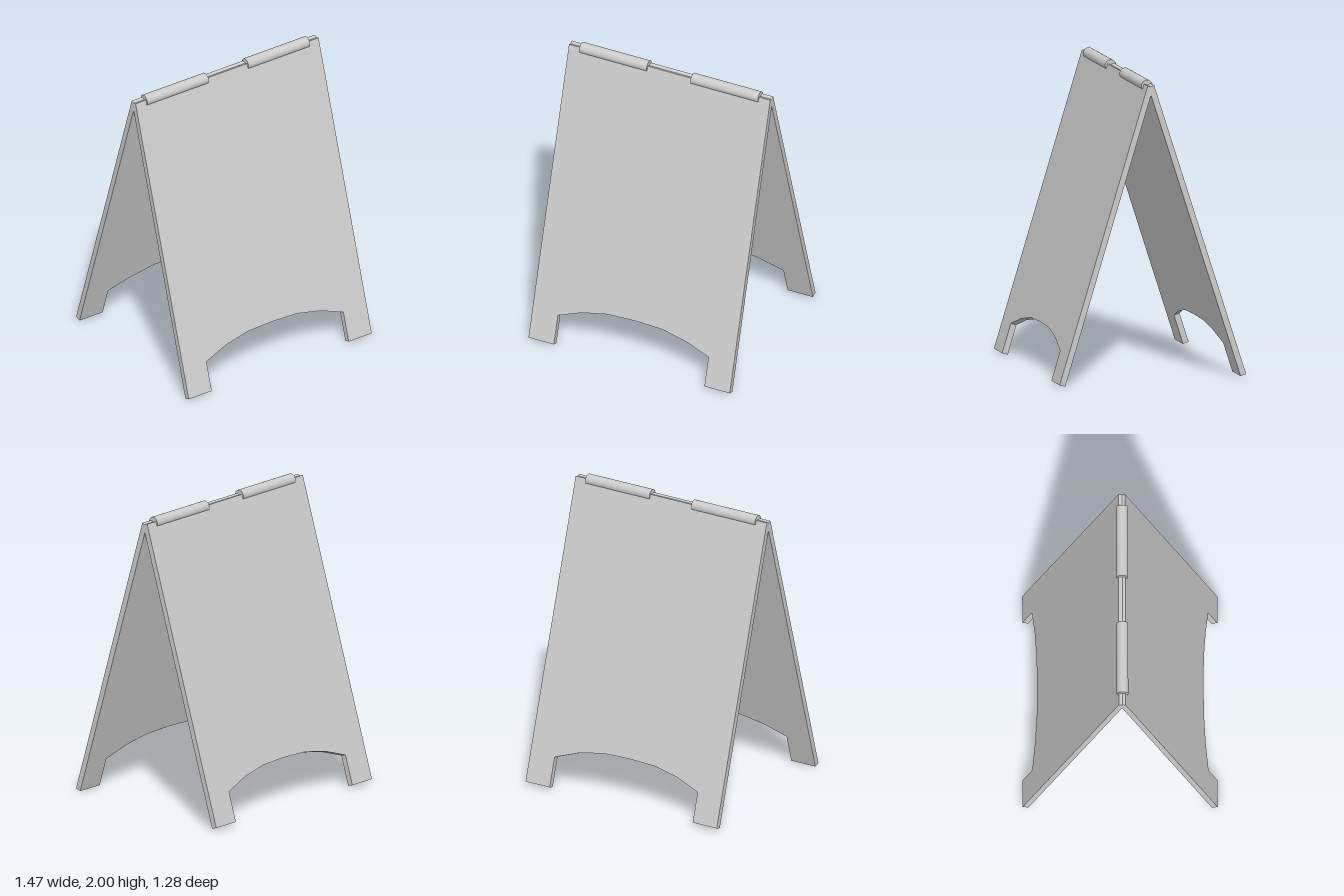
import * as THREE from 'three';

const WIDTH = 1.47, LENGTH = 2.053, THICK = 0.04;

export function createModel() {
  const model = new THREE.Group();
  model.name = 'sandwichBoard';
  const material = new THREE.MeshStandardMaterial({ color: 0xcccccc });

  // Board outline: two feet with a shallow faceted arch between them
  const w = WIDTH / 2;
  const arch = [[-0.55, 0], [-0.55, 0.204], [-0.38, 0.267], [-0.2, 0.304], [0, 0.311],
    [0.2, 0.304], [0.38, 0.267], [0.55, 0.204], [0.55, 0]];
  const outline = [[-w, 0], ...arch, [w, 0], [w, LENGTH], [-w, LENGTH]];
  const shape = new THREE.Shape(outline.map(([x, y]) => new THREE.Vector2(x, y)));
  const boardGeometry = new THREE.ExtrudeGeometry(shape, { depth: THICK, bevelEnabled: false });
  boardGeometry.translate(0, 0, -THICK); // outer face at z = 0

  // Leaning boards, pivoted at the bottom edge of the outer face
  function addBoard(name, y, z, leanDegrees, turn) {
    const board = new THREE.Mesh(boardGeometry, material);
    board.name = name;
    board.position.set(0, y, z);
    board.rotation.set(-THREE.MathUtils.degToRad(leanDegrees), turn, 0, 'YXZ');
    model.add(board);
  }
  addBoard('frontBoard', 0.012, 0.64, 17.13, 0);
  addBoard('backBoard', 0.022, -0.64, 17.9, Math.PI);

  // Hinge barrels along the ridge
  const hingeGeometry = new THREE.CylinderGeometry(0.038, 0.038, 0.493, 24);
  hingeGeometry.rotateZ(Math.PI / 2);
  for (const side of [1, -1]) {
    const hinge = new THREE.Mesh(hingeGeometry, material);
    hinge.name = side > 0 ? 'leftHinge' : 'rightHinge';
    hinge.position.set(side * 0.4065, 1.962, 0.015);
    model.add(hinge);
  }
  return model;
}
